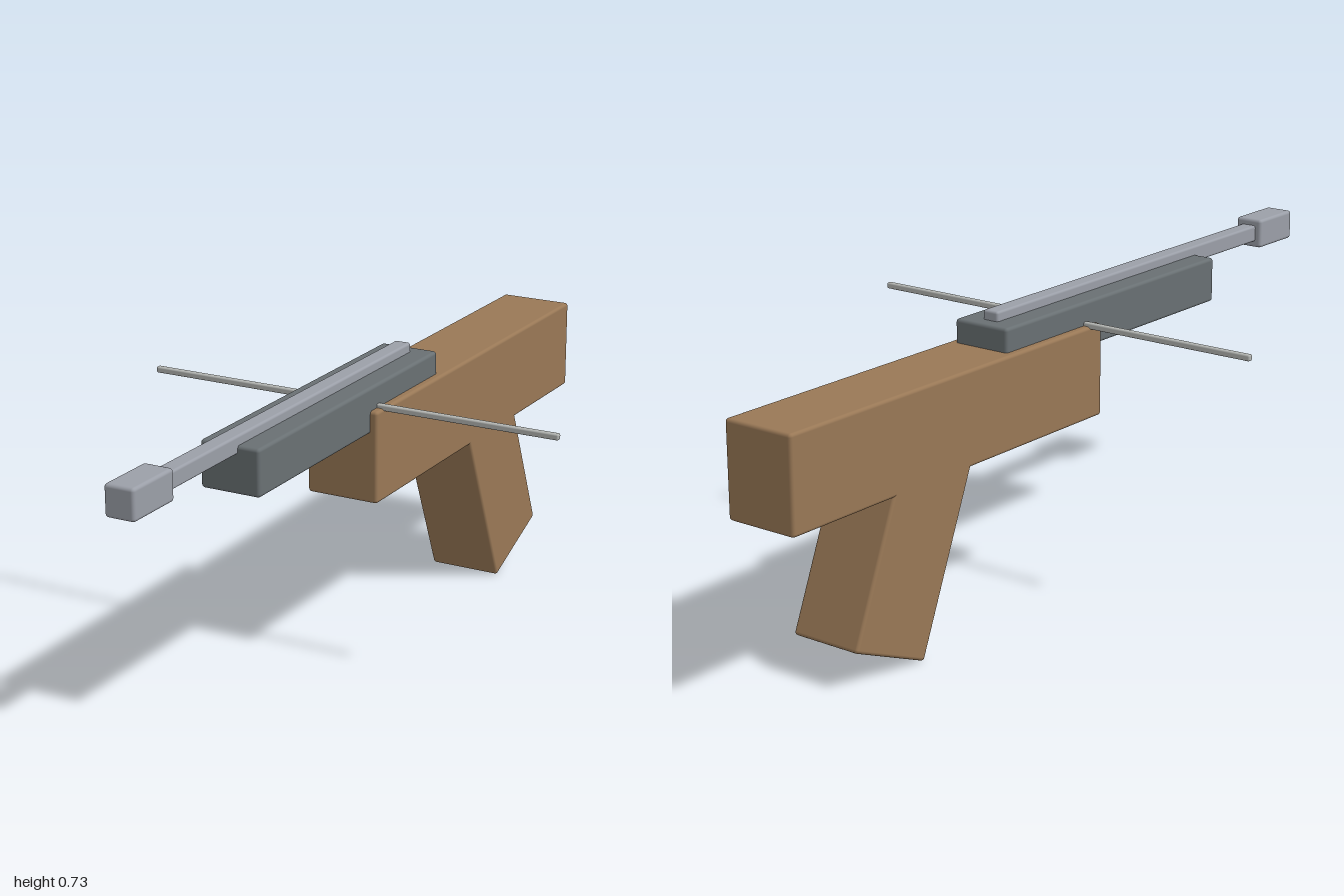
import * as THREE from 'three';
import { RoundedBoxGeometry } from 'three/addons/geometries/RoundedBoxGeometry.js';

function material(name, color) {
  const m = new THREE.MeshStandardMaterial({ color });
  m.name = name;
  return m;
}

export function createModel() {
  const group = new THREE.Group();
  group.name = 'crossbow';
  const wood = material('brown wood', 0x997856);
  const darkMetal = material('dark grey metal', 0x697073);
  const lightMetal = material('light grey metal', 0x9b9fa8);
  const bowMetal = material('pale grey metal', 0xb4b6b3);

  // Softly bevelled block, given by size and centre
  function block(name, size, center, mat, radius = 0.008) {
    const mesh = new THREE.Mesh(new RoundedBoxGeometry(...size, 2, radius), mat);
    mesh.name = name;
    mesh.position.set(...center);
    group.add(mesh);
    return mesh;
  }

  // Wooden stock and slanted grip
  block('stock', [0.187, 0.227, 1.075], [0, 0.5285, -0.4625], wood);
  const grip = block('grip', [0.187, 0.55, 0.244], [0, 0.302, -0.597], wood);
  grip.rotation.x = THREE.MathUtils.degToRad(22.6);

  // Rail on top, with the bolt lying along it
  block('rail', [0.15, 0.112, 0.84], [0, 0.643, 0.155], darkMetal);
  block('boltShaft', [0.042, 0.042, 1.085], [0, 0.701, 0.3125], lightMetal, 0.006);
  block('boltHead', [0.074, 0.074, 0.15], [0, 0.701, 0.925], lightMetal);

  // Thin straight bow limb crossing the rail
  block('bowLimb', [1.076, 0.015, 0.015], [0, 0.6435, 0.035], bowMetal, 0.004);

  return group;
}
